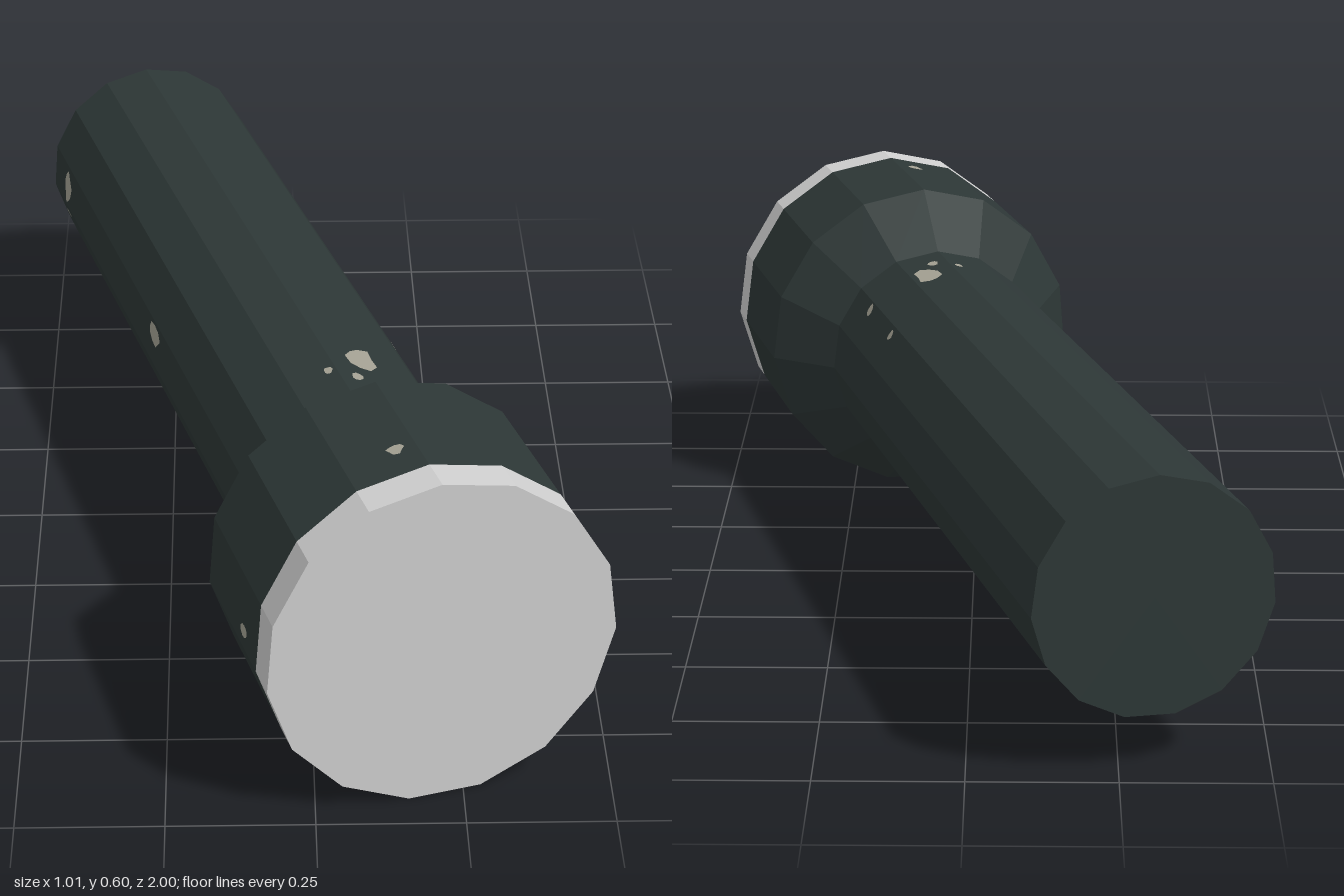
import * as THREE from 'three';

const SIDES = 15;
const STEP = 360 / SIDES;
const BODY_R = 0.2075, HEAD_R = 0.304;
const rad = THREE.MathUtils.degToRad;

const mat = (name, color, flatShading = true) => {
  const m = new THREE.MeshStandardMaterial({ color, flatShading });
  m.name = name;
  return m;
};

export function createModel() {
  const dark = mat('darkCasing', 0x2d3736);
  const light = mat('paleLens', 0xd0d0d0);
  const worn = mat('wornMetal', 0xa5a294);

  // The torch lies along local +z, starting at the tail
  const torch = new THREE.Group();
  torch.name = 'torch';

  const add = (name, geometry, material) => {
    const mesh = new THREE.Mesh(geometry, material);
    mesh.name = name;
    torch.add(mesh);
    return mesh;
  };

  // Faceted section between two distances along the axis
  const section = (name, r0, r1, z0, z1, material, open = true) => {
    const g = new THREE.CylinderGeometry(r1, r0, z1 - z0, SIDES, 1, open, Math.PI);
    g.rotateX(Math.PI / 2);
    g.translate(0, 0, (z0 + z1) / 2);
    return add(name, g, material);
  };
  // End cap facing forward or backward
  const cap = (name, r, z, forward, material) => {
    const g = new THREE.CircleGeometry(r, SIDES, Math.PI / 2);
    if (!forward) g.rotateY(Math.PI);
    g.translate(0, 0, z);
    return add(name, g, material);
  };

  section('handle', BODY_R, BODY_R, 0, 1.453, dark);
  cap('tailCap', BODY_R, 0, false, dark);
  section('headTaper', BODY_R, HEAD_R, 1.453, 1.576, dark);
  section('head', HEAD_R, HEAD_R, 1.576, 1.863, dark);
  section('lensRim', HEAD_R, HEAD_R, 1.863, 1.93, light);
  cap('lens', HEAD_R, 1.93, true, light);

  // Ragged chips: distance along axis, angle clockwise from top, length, width, radius
  let seed = 7;
  const rnd = () => (seed = (seed * 16807) % 2147483647) / 2147483647;
  const chip = (s, angle, length, width, r = BODY_R) => {
    const mid = (Math.floor(angle / STEP) + 0.5) * STEP;
    const apothem = r * Math.cos(Math.PI / SIDES);
    const limit = r * Math.sin(Math.PI / SIDES) - width / 2;
    const offset = THREE.MathUtils.clamp(apothem * Math.tan(rad(angle - mid)), -limit, limit);
    const shape = new THREE.Shape();
    for (let i = 0; i < 9; i++) {
      const a = (i / 9) * Math.PI * 2, k = 0.65 + 0.35 * rnd();
      const x = Math.cos(a) * k * width / 2, y = Math.sin(a) * k * length / 2;
      i ? shape.lineTo(x, y) : shape.moveTo(x, y);
    }
    const g = new THREE.ShapeGeometry(shape);
    g.rotateX(-Math.PI / 2);
    g.translate(offset, apothem + 0.002, s);
    g.rotateZ(-rad(mid));
    add('wornChip', g, worn);
  };
  [
    // upper side
    [1.311, 19, 0.1, 0.06], [1.345, -4, 0.025, 0.02], [1.377, 8, 0.03, 0.025],
    [1.335, 48, 0.03, 0.03], [1.16, 53, 0.025, 0.025],
    // underside
    [1.245, 141, 0.02, 0.015], [0.94, 160, 0.06, 0.035], [0.845, 158, 0.05, 0.035],
    [0.69, 178, 0.09, 0.03], [0.84, 184, 0.06, 0.025], [0.8, -154, 0.06, 0.02],
    [0.41, -129, 0.07, 0.02],
    // right side
    [0.114, -84, 0.06, 0.08], [0.1, -102, 0.04, 0.03], [0.82, -76, 0.09, 0.05],
    // head
    [1.79, -6.5, 0.035, 0.035, HEAD_R], [1.79, -90, 0.04, 0.025, HEAD_R],
  ].forEach((c) => chip(...c));

  // Lay the torch at a slant on the ground
  torch.rotation.set(0, rad(15.5), rad(1.5));
  torch.position.set(-0.305, 0.3, -0.945);

  const model = new THREE.Group();
  model.name = 'flashlight';
  model.add(torch);
  return model;
}
